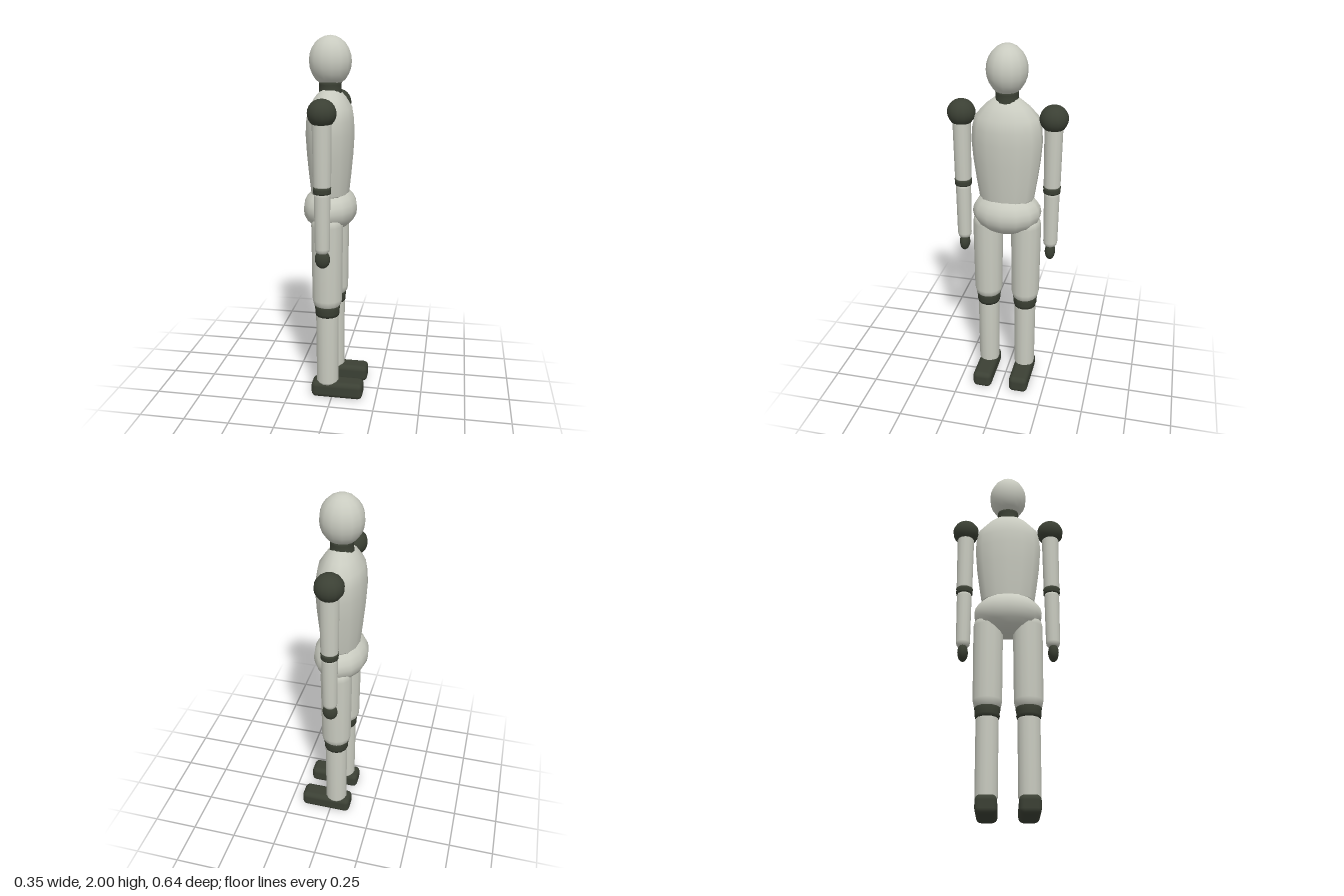
import * as THREE from 'three';
import { RoundedBoxGeometry } from 'three/addons/geometries/RoundedBoxGeometry.js';

const SIDES = 14;
const BODY_X = -0.029; // the figure faces +x, its toes reach past the body axis

export function createModel() {
  const shell = new THREE.MeshStandardMaterial({ color: 0xc9cbc0 });
  shell.name = 'pale shell';
  const joint = new THREE.MeshStandardMaterial({ color: 0x3b4034 });
  joint.name = 'dark joint';

  const model = new THREE.Group();
  model.name = 'mannequin';

  const add = (name, geometry, material, x, y, z) => {
    const mesh = new THREE.Mesh(geometry, material);
    mesh.name = name;
    mesh.position.set(x, y, z);
    model.add(mesh);
    return mesh;
  };

  // Ellipsoid given by its three radii
  const ball = (name, material, y, z, rx, ry, rz, rows = 12) =>
    add(name, new THREE.SphereGeometry(1, SIDES, rows).scale(rx, ry, rz), material, BODY_X, y, z);

  // Turned part: [radius, height] pairs from bottom to top, squashed in x or z
  const turned = (name, material, z, profile, sx = 1, sz = 1) => {
    const points = profile.map(([r, y]) => new THREE.Vector2(r, y));
    const geometry = new THREE.LatheGeometry(points, SIDES, Math.PI / 2).scale(sx, 1, sz);
    return add(name, geometry, material, BODY_X, 0, z);
  };

  // Limb segment with rounded ends
  const limb = (name, material, z, bottom, top, rBottom, rTop, round, sz = 0.97) =>
    turned(name, material, z, [
      [0, bottom], [rBottom * 0.72, bottom], [rBottom * 0.92, bottom + round * 0.4],
      [rBottom, bottom + round], [rTop, top - round],
      [rTop * 0.92, top - round * 0.4], [rTop * 0.72, top], [0, top],
    ], 1, sz);

  // Head, neck, torso, pelvis
  ball('head', shell, 1.87, 0, 0.113, 0.13, 0.107);
  turned('neck', joint, 0, [[0.063, 1.69], [0.06, 1.73], [0.059, 1.75], [0.062, 1.77], [0, 1.775]]);
  turned('torso', shell, 0, [
    [0, 1.172], [0.146, 1.172], [0.15, 1.178], [0.166, 1.28], [0.181, 1.39], [0.19, 1.5],
    [0.184, 1.57], [0.17, 1.63], [0.12, 1.685], [0.068, 1.725], [0, 1.728],
  ], 0.685);
  ball('pelvis', shell, 1.09, 0, 0.147, 0.125, 0.19);

  for (const [side, s] of [['left', -1], ['right', 1]]) {
    // Arm
    const armZ = s * 0.245;
    ball(side + 'Shoulder', joint, 1.632, armZ, 0.075, 0.072, 0.075);
    limb(side + 'UpperArm', shell, armZ, 1.25, 1.61, 0.047, 0.051, 0.015, 0.95);
    turned(side + 'Elbow', joint, armZ,
      [[0, 1.222], [0.045, 1.224], [0.047, 1.232], [0.046, 1.245], [0.048, 1.258], [0, 1.262]]);
    limb(side + 'Forearm', shell, armZ, 0.905, 1.235, 0.04, 0.043, 0.025);
    ball(side + 'Hand', joint, 0.87, armZ, 0.041, 0.051, 0.029, 10);

    // Leg
    const legZ = s * 0.108;
    limb(side + 'Thigh', shell, legZ, 0.545, 1.065, 0.083, 0.087, 0.05, 0.95);
    turned(side + 'Knee', joint, legZ,
      [[0, 0.495], [0.064, 0.497], [0.069, 0.515], [0.068, 0.53], [0.072, 0.55], [0.066, 0.562], [0, 0.566]], 1, 0.97);
    limb(side + 'Shin', shell, legZ, 0.075, 0.51, 0.062, 0.064, 0.02, 0.95);
    add(side + 'Foot', new RoundedBoxGeometry(0.292, 0.096, 0.11, 3, 0.028), joint, 0.029, 0.05, legZ)
      .geometry.translate(0, -0.002, 0);
  }
  return model;
}
